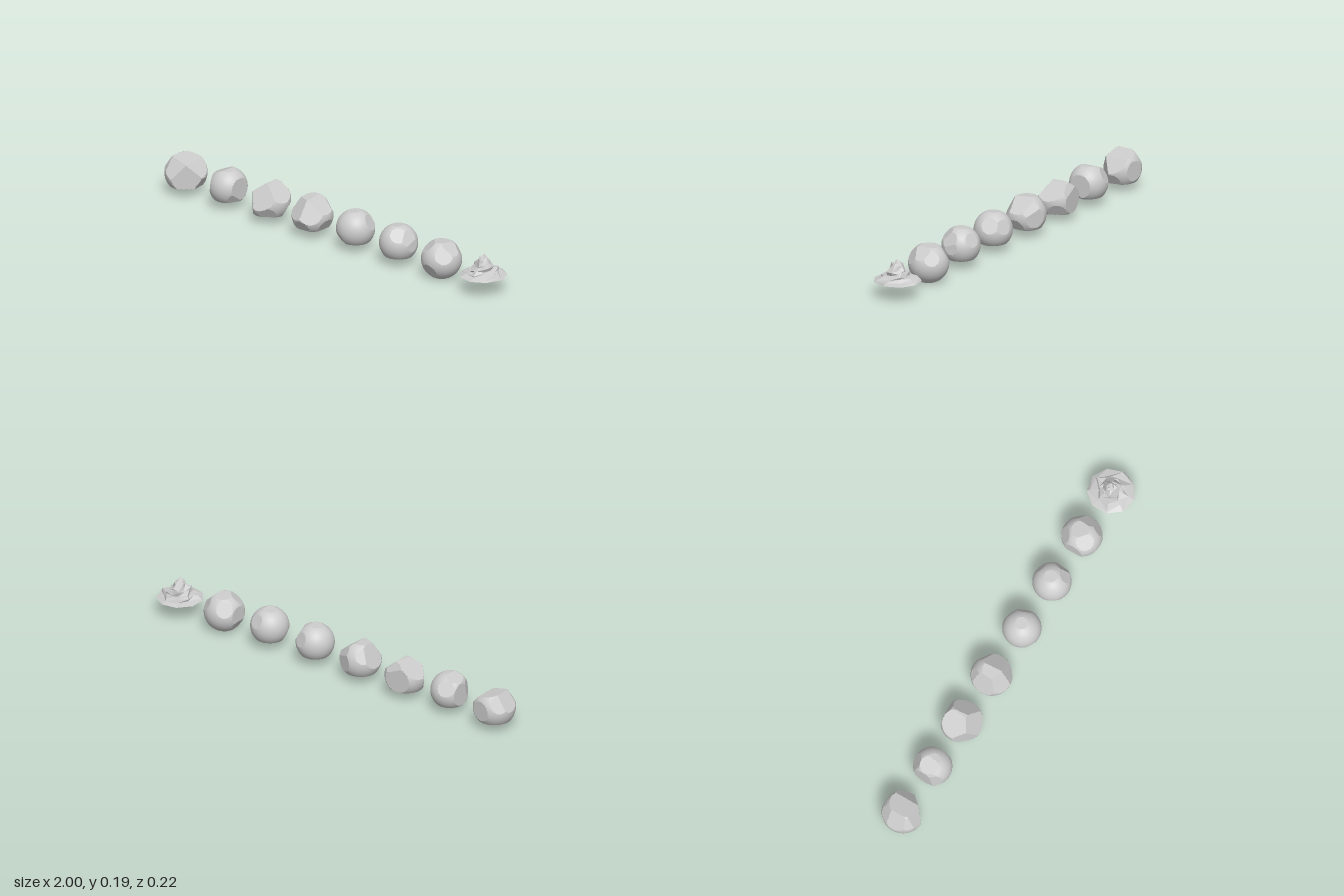
import * as THREE from 'three';

const grey = () => new THREE.MeshStandardMaterial({ color: 0xcccccc });

// Unit normal from azimuth (0 = +x, 90 = front) and elevation in degrees
const normalAt = (azimuth, elevation) => new THREE.Vector3().setFromSphericalCoords(
  1, THREE.MathUtils.degToRad(90 - elevation), THREE.MathUtils.degToRad(90 - azimuth));

// Rock: a sphere of radius r cut by planes, flat on each cut and smooth elsewhere
function makeRock(r, planes) {
  const geo = new THREE.IcosahedronGeometry(1, 22);
  const pos = geo.attributes.position, nor = geo.attributes.normal;
  const hit = (d) => {
    let best = r, plane = null;
    for (const p of planes) {
      const c = p.n.dot(d);
      if (c > 0.01 && p.h / c < best) { best = p.h / c; plane = p; }
    }
    return { best, plane };
  };
  const dirs = [0, 1, 2].map(() => new THREE.Vector3());
  const mid = new THREE.Vector3();
  for (let i = 0; i < pos.count; i += 3) {
    dirs.forEach((d, k) => d.fromBufferAttribute(pos, i + k).normalize());
    mid.copy(dirs[0]).add(dirs[1]).add(dirs[2]).normalize();
    const face = hit(mid).plane;
    dirs.forEach((d, k) => {
      const n = face ? face.n : d;
      const t = hit(d).best;
      nor.setXYZ(i + k, n.x, n.y, n.z);
      pos.setXYZ(i + k, d.x * t, d.y * t, d.z * t);
    });
  }
  return geo;
}

// Main cuts as [azimuth, elevation, distance]; chips are small extra facets
const rocks = [
  { name: 'wedgeRock', x: -0.905, r: 0.097, chips: 3, cuts: [[0, 76, 0.066], [0, 41, 0.07],
    [180, 33, 0.081], [47, 0, 0.067], [-81, 0, 0.085], [83, 30, 0.075]] },
  { name: 'narrowRock', x: -0.65, r: 0.088, chips: 3, cuts: [[180, 0, 0.068], [0, 0, 0.07],
    [180, 69, 0.076], [150, 6, 0.074]] },
  { name: 'facetedRock', x: -0.4, r: 0.097, chips: 5, cuts: [[180, 51, 0.066], [0, 49, 0.07],
    [83, 33, 0.064], [137, 0, 0.075], [264, 0, 0.075]] },
  { name: 'peakedRock', x: -0.14, r: 0.095, chips: 4, cuts: [[180, 25, 0.074], [0, 53, 0.072],
    [110, 30, 0.076], [57, 25, 0.075], [-65, 0, 0.083]] },
  { name: 'roundRock', x: 0.12, r: 0.088, chips: 2, cuts: [[-70, 20, 0.081]] },
  { name: 'chippedRock', x: 0.38, r: 0.088, chips: 3, cuts: [[0, 5, 0.082], [50, 42, 0.08]] },
  { name: 'boulder', x: 0.64, r: 0.0925, chips: 5, cuts: [[180, 0, 0.081], [0, 48, 0.083],
    [135, 48, 0.083]] },
];

// All cutting planes of one rock: main cuts, chips spread round the back, underside and top
function planesFor({ name, r, chips, cuts }, index) {
  const planes = cuts.map(([a, e, h]) => ({ n: normalAt(a, e), h }));
  for (let i = 0; i < chips; i++) {
    planes.push({ n: normalAt(215 + index * 31 + i * 137.5, i % 2 ? -30 : 28), h: r * (0.9 + 0.015 * (i % 3)) });
  }
  planes.push({ n: normalAt(0, -90), h: name === 'boulder' ? 0.09 : 0.06 });
  planes.push({ n: normalAt(40 * index, 85), h: 0.083 });
  return planes;
}

// Rubble heap: thin open shell of stepped, uneven rings
function makeHeap() {
  const n = 9, points = [], index = [];
  const rings = [[1, 0.08], [0.78, 0.09], [0.62, 0.1], [0.5, 0.107], [0.42, 0.125],
    [0.34, 0.13], [0.23, 0.155], [0.12, 0.165]];
  rings.forEach(([s, y], j) => {
    for (let i = 0; i < n; i++) {
      const a = -i / n * Math.PI * 2;
      const wobble = j ? 1 + 0.2 * Math.sin(i * 2.4 + j * 1.7) : 1;
      const lift = j ? 0.005 * Math.sin(i * 1.9 + j * 2.3) : 0;
      points.push(0.108 * Math.cos(a) * s * wobble, y + lift, 0.111 * Math.sin(a) * s * wobble);
    }
  });
  points.push(0.003, 0.18, 0);
  const top = rings.length * n;
  for (let j = 0; j < rings.length; j++) for (let i = 0; i < n; i++) {
    const a = j * n + i, b = j * n + (i + 1) % n;
    if (j === rings.length - 1) index.push(a, b, top);
    else index.push(a, b, b + n, a, b + n, a + n);
  }
  const shell = new THREE.BufferGeometry();
  shell.setAttribute('position', new THREE.Float32BufferAttribute(points, 3));
  shell.setIndex(index);
  const flat = shell.toNonIndexed();
  flat.computeVertexNormals();
  return flat;
}

export function createModel() {
  const group = new THREE.Group();
  group.name = 'rockSet';
  rocks.forEach((spec, i) => {
    const rock = new THREE.Mesh(makeRock(spec.r, planesFor(spec, i)), grey());
    rock.name = spec.name;
    rock.position.set(spec.x, spec.name === 'boulder' ? 0.09 : 0.1, 0);
    group.add(rock);
  });
  const material = grey();
  material.side = THREE.DoubleSide;
  material.flatShading = true;
  const heap = new THREE.Mesh(makeHeap(), material);
  heap.name = 'rubbleHeap';
  heap.position.x = 0.892;
  group.add(heap);
  return group;
}
